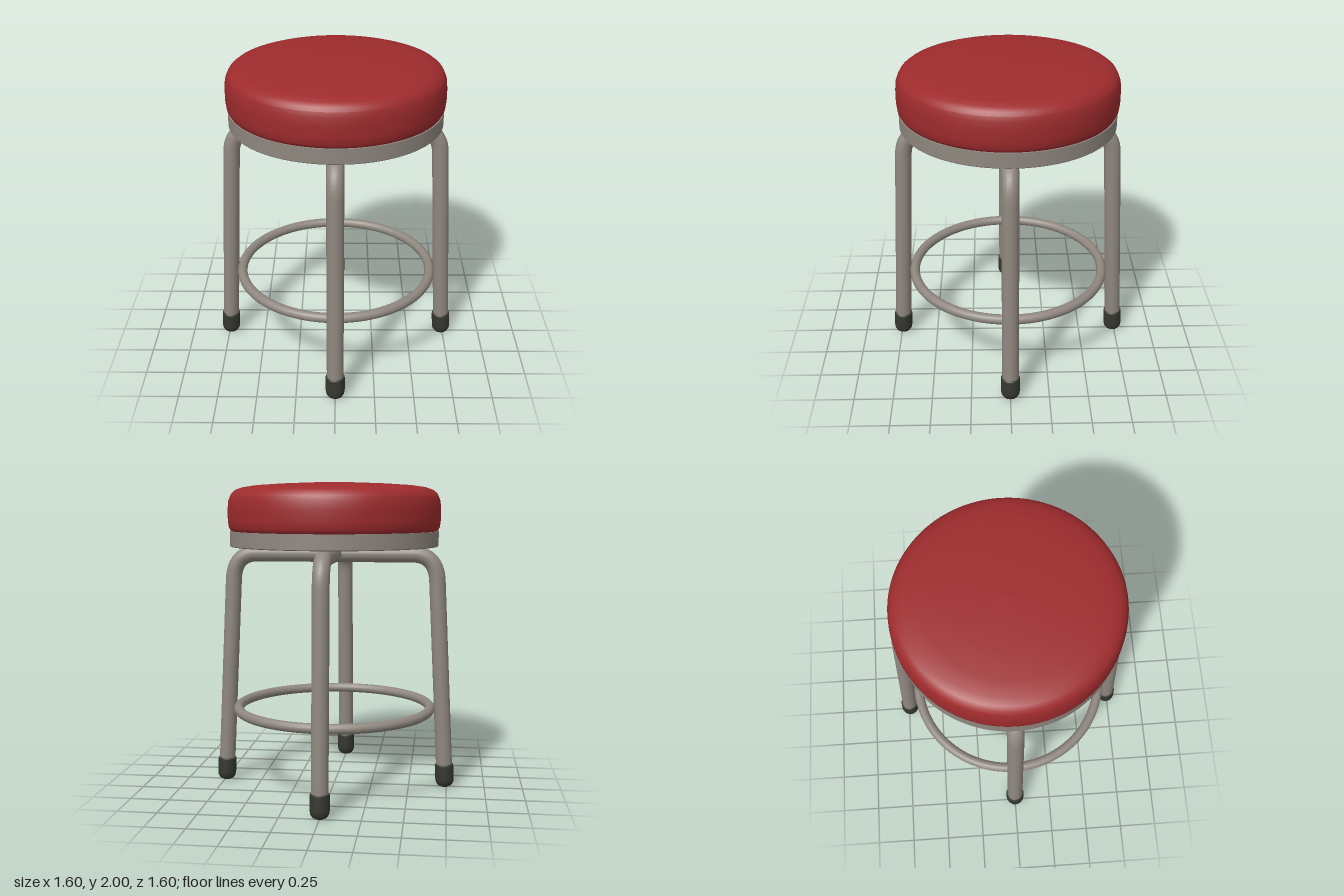
import * as THREE from 'three';

const paint = (name, color) => Object.assign(new THREE.MeshStandardMaterial({ color }), { name });
const V = (x, y) => new THREE.Vector3(x, y, 0);

export function createModel() {
  const red = paint('red vinyl', 0x9e2b2d);
  const metal = paint('grey metal', 0x8f877f);
  const rubber = paint('dark rubber', 0x35372f);

  const stool = new THREE.Group();
  stool.name = 'stool';
  const add = (name, geometry, material, parent = stool) => {
    const mesh = new THREE.Mesh(geometry, material);
    mesh.name = name;
    parent.add(mesh);
    return mesh;
  };
  const lathe = (points, segments) =>
    new THREE.LatheGeometry(points.map(([x, y]) => new THREE.Vector2(x, y)), segments);

  // Padded seat, very slightly deeper than wide
  const seat = new THREE.Group();
  seat.name = 'seat';
  seat.scale.z = 1.01;
  stool.add(seat);
  add('cushionSide', lathe([
    [0.64, 1.685], [0.668, 1.692], [0.681, 1.715], [0.687, 1.76],
    [0.687, 1.83], [0.683, 1.88], [0.672, 1.91],
  ], 96), red, seat);
  add('cushionTop', lathe([
    [0.672, 1.91], [0.66, 1.932], [0.635, 1.952], [0.59, 1.968], [0.5, 1.981],
    [0.35, 1.991], [0.18, 1.998], [0, 2],
  ], 96), red, seat);

  // Metal rim and the dark board under the cushion
  add('seatRim', lathe([[0.655, 1.592], [0.67, 1.592], [0.675, 1.597]], 96), metal, seat);
  add('seatBand', lathe([[0.675, 1.597], [0.675, 1.69]], 96), metal, seat);
  add('rimTop', lathe([[0.675, 1.69], [0.63, 1.69]], 96), metal, seat);
  const board = add('seatBoard', new THREE.CircleGeometry(0.656, 96), rubber, seat);
  board.rotation.x = Math.PI / 2;
  board.position.y = 1.593;

  // Two bent tubes, each forming a pair of opposite legs, crossing under the seat
  const path = new THREE.CurvePath();
  path.add(new THREE.LineCurve3(V(-0.738, 0.06), V(-0.671, 1.37)));
  path.add(new THREE.QuadraticBezierCurve3(V(-0.671, 1.37), V(-0.662, 1.54), V(-0.51, 1.54)));
  path.add(new THREE.LineCurve3(V(-0.51, 1.54), V(0.51, 1.54)));
  path.add(new THREE.QuadraticBezierCurve3(V(0.51, 1.54), V(0.662, 1.54), V(0.671, 1.37)));
  path.add(new THREE.LineCurve3(V(0.671, 1.37), V(0.738, 0.06)));
  const tube = new THREE.TubeGeometry(path, 180, 0.053, 20);

  // Rounded rubber foot
  const foot = lathe([
    [0, 0], [0.025, 0.002], [0.045, 0.012], [0.057, 0.03], [0.061, 0.055],
    [0.061, 0.145], [0.058, 0.154], [0.05, 0.156],
  ], 28);

  for (let i = 0; i < 2; i++) {
    const pair = new THREE.Group();
    pair.name = i ? 'frontBackLegs' : 'sideLegs';
    pair.rotation.y = i * Math.PI / 2;
    stool.add(pair);
    add('legTube', tube, metal, pair);
    for (const side of [-1, 1]) {
      const cap = add('foot', foot, rubber, pair);
      cap.position.set(side * 0.741, 0, 0);
      cap.rotation.z = side * 0.051;
    }
  }

  // Footrest ring inside the legs
  const ring = add('footrestRing', new THREE.TorusGeometry(0.634, 0.032, 16, 96), metal);
  ring.rotation.x = Math.PI / 2;
  ring.position.y = 0.525;

  return stool;
}
